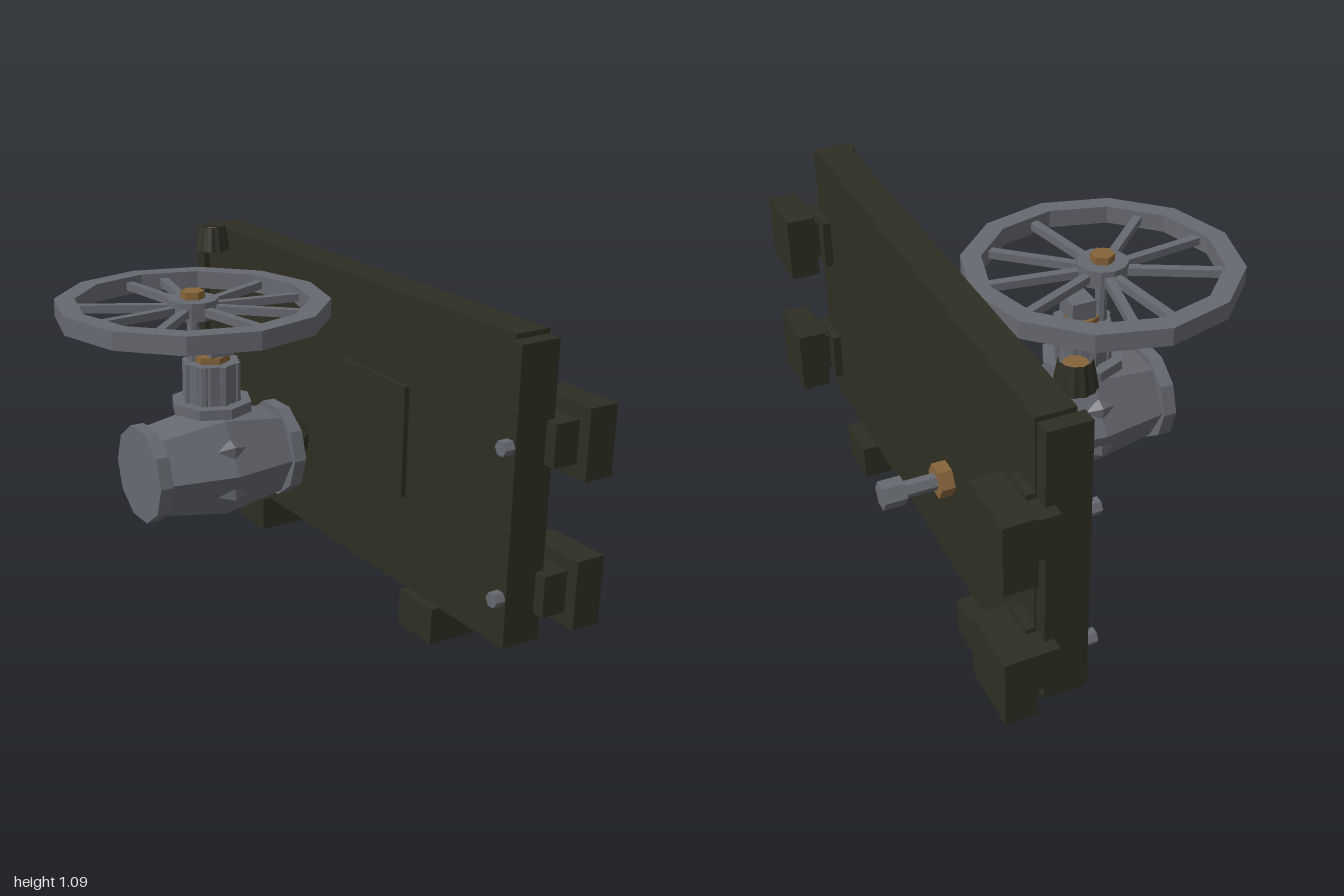
import * as THREE from 'three';

const mat = (name, color) => {
  const m = new THREE.MeshStandardMaterial({ color, flatShading: true });
  m.name = name;
  return m;
};

export function createModel() {
  const model = new THREE.Group();
  const dark = mat('darkOlive', 0x2f2e23);
  const steel = mat('steelGrey', 0x666970);
  const bronze = mat('bronze', 0x86643a);

  const add = (name, geo, m, x = 0, y = 0, z = 0) => {
    const mesh = new THREE.Mesh(geo, m);
    mesh.name = name;
    mesh.position.set(x, y, z);
    model.add(mesh);
    return mesh;
  };
  // box given by its limits on each axis
  const box = (name, m, x0, x1, y0, y1, z0, z1) =>
    add(name, new THREE.BoxGeometry(x1 - x0, y1 - y0, z1 - z0), m, (x0 + x1) / 2, (y0 + y1) / 2, (z0 + z1) / 2);
  // prism lying along x from x0 to x1
  const rod = (name, m, x0, x1, y, z, r0, r1 = r0, n = 6) =>
    add(name, new THREE.CylinderGeometry(r1, r0, x1 - x0, n).rotateZ(-Math.PI / 2), m, (x0 + x1) / 2, y, z);
  // prism standing from y0 to y1
  const post = (name, m, x, z, y0, y1, r0, r1 = r0, n = 6, open = false) =>
    add(name, new THREE.CylinderGeometry(r1, r0, y1 - y0, n, 1, open), m, x, (y0 + y1) / 2, z);

  // wall panel
  box('panel', dark, 0.277, 0.393, 0.12, 1.06, -0.87, 0.87);
  box('backPlate', dark, 0.26, 0.277, 0.42, 0.78, 0.02, 0.4);
  box('catchBlock', steel, 0.24, 0.277, 0.31, 0.375, -0.27, -0.19);

  // mirrored end strips, feet, bolts and bumpers
  for (const s of [-1, 1]) {
    const side = (name, m, x0, x1, y0, y1, a, b) =>
      box(name, m, x0, x1, y0, y1, Math.min(s * a, s * b), Math.max(s * a, s * b));
    side('endStrip', dark, 0.255, 0.387, 0.14, 1.045, 0.87, 0.92);
    side('foot', dark, 0.25, 0.443, 0, 0.12, 0.425, 0.592);
    for (const y of [0.75, 0.292]) {
      rod('stripBolt', steel, 0.222, 0.255, y, s * 0.895, 0.024);
      side('bumperBlock', dark, 0.443, 0.54, y - 0.108, y + 0.108, 0.785, 1);
      side('bumperNeck', dark, 0.36, 0.443, y - 0.065, y + 0.065, 0.83, 0.96);
      side('bumperPlate', dark, 0.39, 0.42, y - 0.082, y + 0.082, 0.775, 0.875);
    }
  }

  // valve body
  const bx = -0.133, by = 0.458, bz = -0.1;
  rod('bodyRight', steel, bx, 0.09, by, bz, 0.182, 0.145);
  rod('bodyLeft', steel, -0.355, bx, by, bz, 0.145, 0.182);
  rod('flangeRight', steel, 0.085, 0.128, by, bz, 0.158, 0.158, 10);
  rod('flangeLeft', steel, -0.397, -0.352, by, bz, 0.158, 0.158, 10);
  for (let i = 0; i < 6; i++) {
    const a = Math.PI / 6 + (i * Math.PI) / 3;
    const boss = add('bodyBoss', new THREE.OctahedronGeometry(1), steel,
      bx, by + 0.155 * Math.sin(a), bz + 0.155 * Math.cos(a));
    boss.scale.set(0.05, 0.035, 0.025);
    boss.rotation.x = -a;
  }

  // bonnet and gland
  post('neck', steel, bx, bz, 0.58, 0.65, 0.045, 0.045, 8);
  post('bonnetFlange', steel, bx, bz, 0.635, 0.668, 0.132, 0.132, 8);
  post('bonnet', steel, bx, bz, 0.66, 0.795, 0.088, 0.088, 12);
  for (let i = 0; i < 8; i++) {
    const a = (i * Math.PI) / 4;
    post('bonnetRib', steel, bx + 0.08 * Math.cos(a), bz + 0.08 * Math.sin(a), 0.66, 0.795, 0.016);
  }
  post('glandRing', bronze, bx, bz, 0.795, 0.815, 0.06);
  box('glandBlock', steel, -0.155, -0.075, 0.815, 0.875, bz - 0.045, bz + 0.045);

  // handwheel
  const wx = -0.182, wz = -0.125;
  const ngon = (r, C) => {
    const pts = [];
    for (let i = 0; i < 12; i++) {
      const a = (i * Math.PI) / 6;
      pts.push(new THREE.Vector2(r * Math.cos(a), r * Math.sin(a)));
    }
    return new C(pts);
  };
  const rim = ngon(0.432, THREE.Shape);
  rim.holes.push(ngon(0.368, THREE.Path));
  add('wheelRim', new THREE.ExtrudeGeometry(rim, { depth: 0.058, bevelEnabled: false }).rotateX(-Math.PI / 2),
    steel, wx, 0.938, wz);
  for (const deg of [25, 78, 98, 152, 187, 224, 280, 318, 352]) {
    const spoke = add('wheelSpoke', new THREE.BoxGeometry(0.34, 0.025, 0.028).translate(0.21, 0, 0), steel, wx, 0.967, wz);
    spoke.rotation.y = (deg * Math.PI) / 180;
  }
  post('wheelHub', steel, wx, wz, 0.94, 0.998, 0.08, 0.08, 12);
  post('wheelNut', bronze, wx, wz, 0.998, 1.022, 0.038);
  post('stem', steel, wx, wz, 0.78, 0.945, 0.02, 0.02, 8);

  // pipe from the valve to the panel
  rod('valveNut', bronze, 0.127, 0.18, 0.46, bz, 0.048);
  const bend = new THREE.CatmullRomCurve3([
    new THREE.Vector3(0.17, 0.455, -0.1), new THREE.Vector3(0.205, 0.455, -0.13),
    new THREE.Vector3(0.25, 0.455, -0.23), new THREE.Vector3(0.29, 0.455, -0.265)]);
  add('pipeBend', new THREE.TubeGeometry(bend, 5, 0.048, 6), dark);

  // bolt on the outer face
  rod('outletNut', bronze, 0.393, 0.437, 0.459, -0.265, 0.055);
  rod('outletShank', steel, 0.43, 0.545, 0.459, -0.265, 0.027);
  rod('outletHead', steel, 0.54, 0.611, 0.46, -0.265, 0.045);

  // hollow fluted knob
  const flutes = new THREE.CylinderGeometry(0.047, 0.062, 0.086, 24, 1, true);
  const p = flutes.attributes.position;
  for (let i = 0; i < p.count; i++) {
    const k = (i % 25) % 2 ? 0.93 : 1;
    p.setXYZ(i, p.getX(i) * k, p.getY(i), p.getZ(i) * k);
  }
  add('knobShell', flutes, dark, 0.2, 1.043, -0.705);
  post('knobCore', bronze, 0.2, -0.705, 1.005, 1.072, 0.036, 0.036, 10);

  return model;
}
